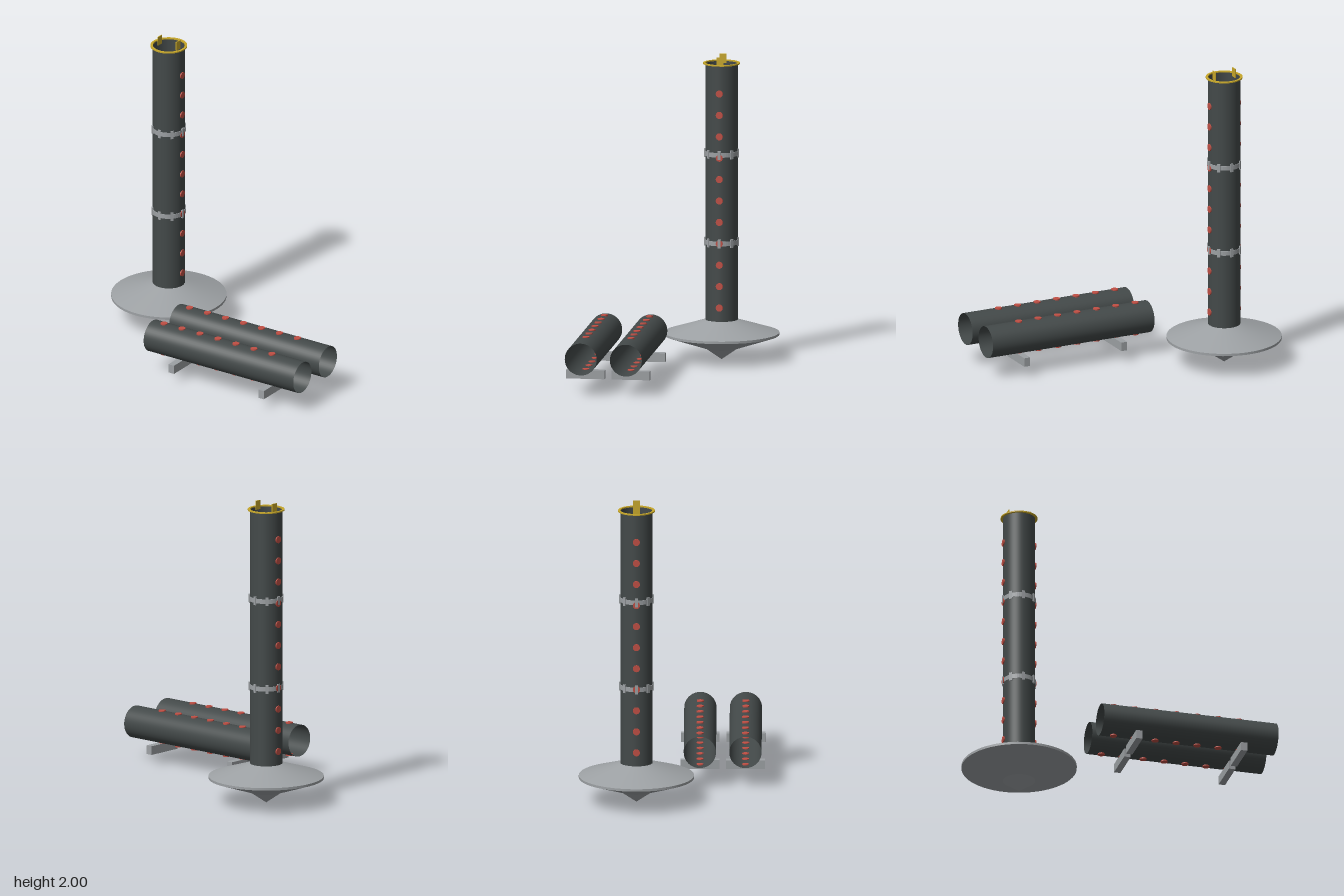
import * as THREE from 'three';

const material = (name, color, side = THREE.FrontSide) => {
  const m = new THREE.MeshStandardMaterial({ color, side });
  m.name = name;
  return m;
};

export function createModel() {
  const dark = material('dark pipe', 0x434949, THREE.DoubleSide);
  const grey = material('grey steel', 0x9da1a4);
  const red = material('red plugs', 0xc04f44);
  const yellow = material('yellow paint', 0xc8a82a);

  const R = 0.105; // pipe radius
  const model = new THREE.Group();
  model.name = 'pipeAssembly';

  const add = (parent, name, geometry, mat, x = 0, y = 0, z = 0) => {
    const mesh = new THREE.Mesh(geometry, mat);
    mesh.name = name;
    mesh.position.set(x, y, z);
    parent.add(mesh);
    return mesh;
  };
  // Flat ring with a square section, lying level
  const ring = (inner, outer, height) => new THREE.LatheGeometry([
    [inner, 0], [outer, 0], [outer, height], [inner, height], [inner, 0],
  ].map(([r, y]) => new THREE.Vector2(r, y)), 48).toNonIndexed();
  const sharpRing = (inner, outer, height) => {
    const g = ring(inner, outer, height);
    g.computeVertexNormals();
    return g;
  };
  const plug = new THREE.CylinderGeometry(0.023, 0.023, 0.012, 24);

  // Upright tower
  const tower = new THREE.Group();
  tower.name = 'tower';
  tower.position.set(-0.577, 0, -0.23);
  model.add(tower);
  add(tower, 'towerPipe', new THREE.CylinderGeometry(R, R, 1.69, 48, 1, true), dark, 0, 1.107, 0);

  // Pointed base: frustums kept separate so the edges stay crisp
  const levels = [[0.0005, 0], [R, 0.072], [0.375, 0.162], [0.375, 0.178], [R, 0.262]];
  for (let i = 1; i < levels.length; i++) {
    const [r0, y0] = levels[i - 1], [r1, y1] = levels[i];
    add(tower, 'baseCone' + i, new THREE.CylinderGeometry(r1, r0, y1 - y0, 64, 1, true), grey, 0, (y0 + y1) / 2, 0);
  }
  add(tower, 'baseTop', new THREE.CircleGeometry(R, 48), grey, 0, 0.262, 0).rotation.x = -Math.PI / 2;

  // Rim and lifting tabs
  add(tower, 'topRim', sharpRing(R - 0.001, 0.12, 0.008), yellow, 0, 1.947, 0);
  for (const s of [-1, 1]) {
    add(tower, 'liftingTab', new THREE.BoxGeometry(0.006, 0.06, 0.045), yellow, s * 0.072, 1.97, 0);
    // Plugs down both sides
    for (let i = 0; i < 11; i++) {
      add(tower, 'towerPlug', plug, red, s * R, 0.354 + i * 0.1411, 0).rotation.z = Math.PI / 2;
    }
  }

  // Clamps with eight lugs
  for (const y of [0.776, 1.36]) {
    const clamp = new THREE.Group();
    clamp.name = 'clamp';
    clamp.position.y = y;
    tower.add(clamp);
    add(clamp, 'clampBand', sharpRing(R - 0.001, 0.109, 0.03), grey, 0, -0.015, 0);
    for (let i = 0; i < 8; i++) {
      const a = i * Math.PI / 4;
      add(clamp, 'clampLug', new THREE.BoxGeometry(0.02, 0.056, 0.01), grey,
        Math.sin(a) * 0.108, 0, Math.cos(a) * 0.108).rotation.y = a;
    }
  }

  // Two lying pipes on supports
  for (const z of [0.181, 0.477]) {
    const pipe = new THREE.Group();
    pipe.name = 'lyingPipe';
    pipe.position.set(0, 0.239, z);
    model.add(pipe);
    add(pipe, 'pipeBody', new THREE.CylinderGeometry(R, R, 1.174, 48, 1, true), dark, 0.362, 0, 0).rotation.z = Math.PI / 2;
    for (const s of [-1, 1]) {
      for (let i = 0; i < 7; i++) add(pipe, 'pipePlug', plug, red, -0.136 + i * 0.141, s * R, 0);
    }
    for (const x of [0.006, 0.711]) {
      add(pipe, 'support', new THREE.BoxGeometry(0.043, 0.058, 0.252), grey, x, -0.135, 0);
    }
  }
  return model;
}
